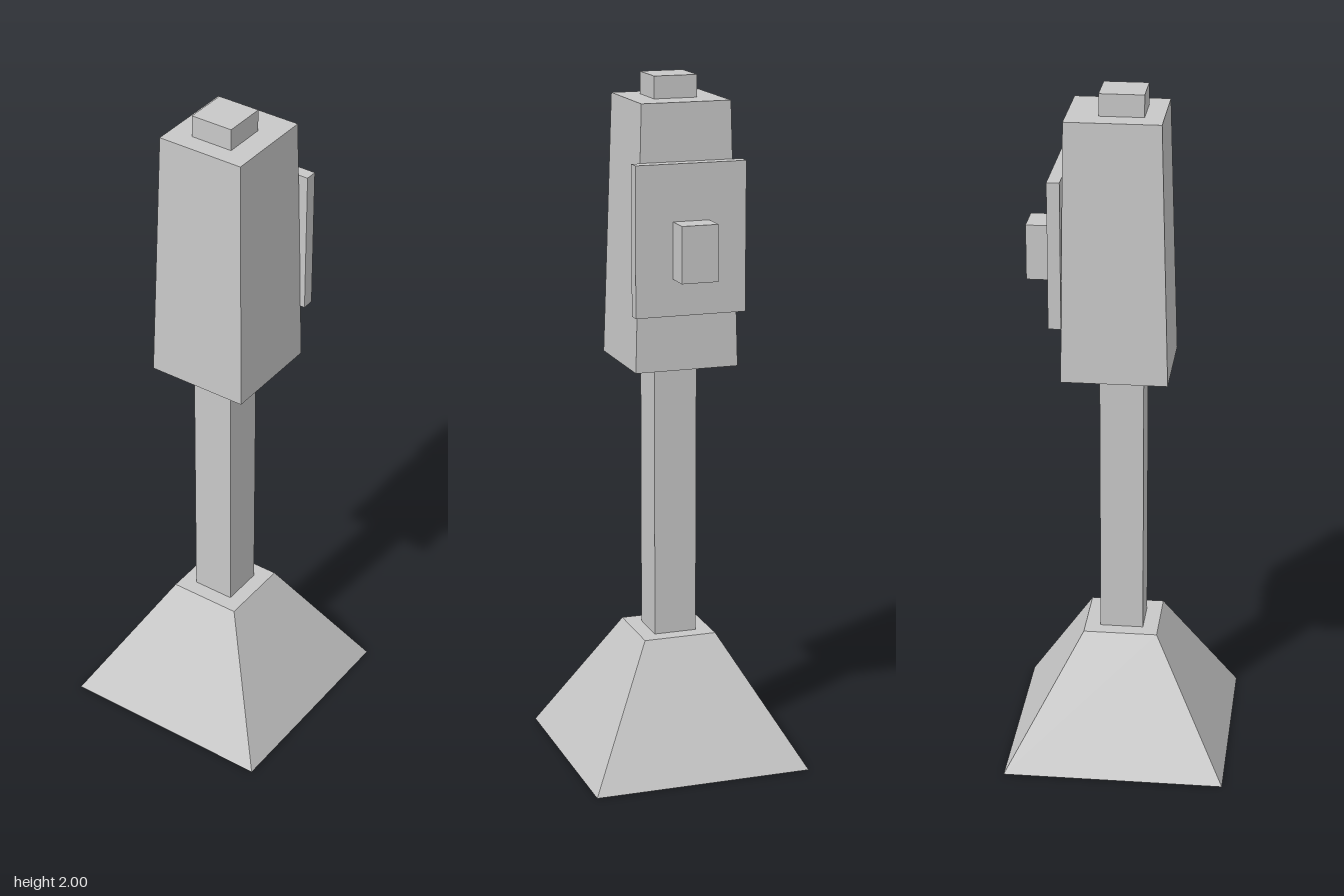
import * as THREE from 'three';

const grey = new THREE.MeshStandardMaterial({ color: 0xc8c8c8, flatShading: true });
grey.name = 'light grey';

// Box given by its [min, max] range on each axis
function block(name, [x0, x1], [y0, y1], [z0, z1]) {
  const geometry = new THREE.BoxGeometry(x1 - x0, y1 - y0, z1 - z0);
  geometry.translate((x0 + x1) / 2, (y0 + y1) / 2, (z0 + z1) / 2);
  const mesh = new THREE.Mesh(geometry, grey);
  mesh.name = name;
  return mesh;
}

// Block whose top face is moved to its own x and z ranges
function taperedBlock(name, xBottom, y, zBottom, xTop, zTop) {
  const mesh = block(name, xBottom, y, zBottom);
  const p = mesh.geometry.attributes.position;
  const midX = (xBottom[0] + xBottom[1]) / 2;
  const midY = (y[0] + y[1]) / 2;
  const midZ = (zBottom[0] + zBottom[1]) / 2;
  for (let i = 0; i < p.count; i++) {
    if (p.getY(i) < midY) continue;
    p.setX(i, xTop[p.getX(i) > midX ? 1 : 0]);
    p.setZ(i, zTop[p.getZ(i) > midZ ? 1 : 0]);
  }
  mesh.geometry.computeVertexNormals();
  return mesh;
}

export function createModel() {
  const model = new THREE.Group();
  model.name = 'postMountedBox';
  const foot = [-0.322, 0.322], footTop = [-0.108, 0.108], post = [-0.063, 0.063];

  model.add(
    // Pyramid foot and the post that runs through to the cap
    taperedBlock('foot', foot, [0, 0.375], foot, footTop, footTop),
    block('post', post, [0.36, 1.2], post),
    block('topCap', post, [1.92, 2], post),
    // Tapered housing
    taperedBlock('housing', [-0.151, 0.151], [1.187, 1.937], [-0.163, 0.139],
      [-0.13, 0.13], [-0.153, 0.117]),
    // Rear panel with its knob
    block('rearPanel', [-0.161, 0.161], [1.35, 1.775], [-0.195, -0.159]),
    block('rearKnob', [-0.053, 0.053], [1.455, 1.615], [-0.27, -0.19]),
  );
  return model;
}
